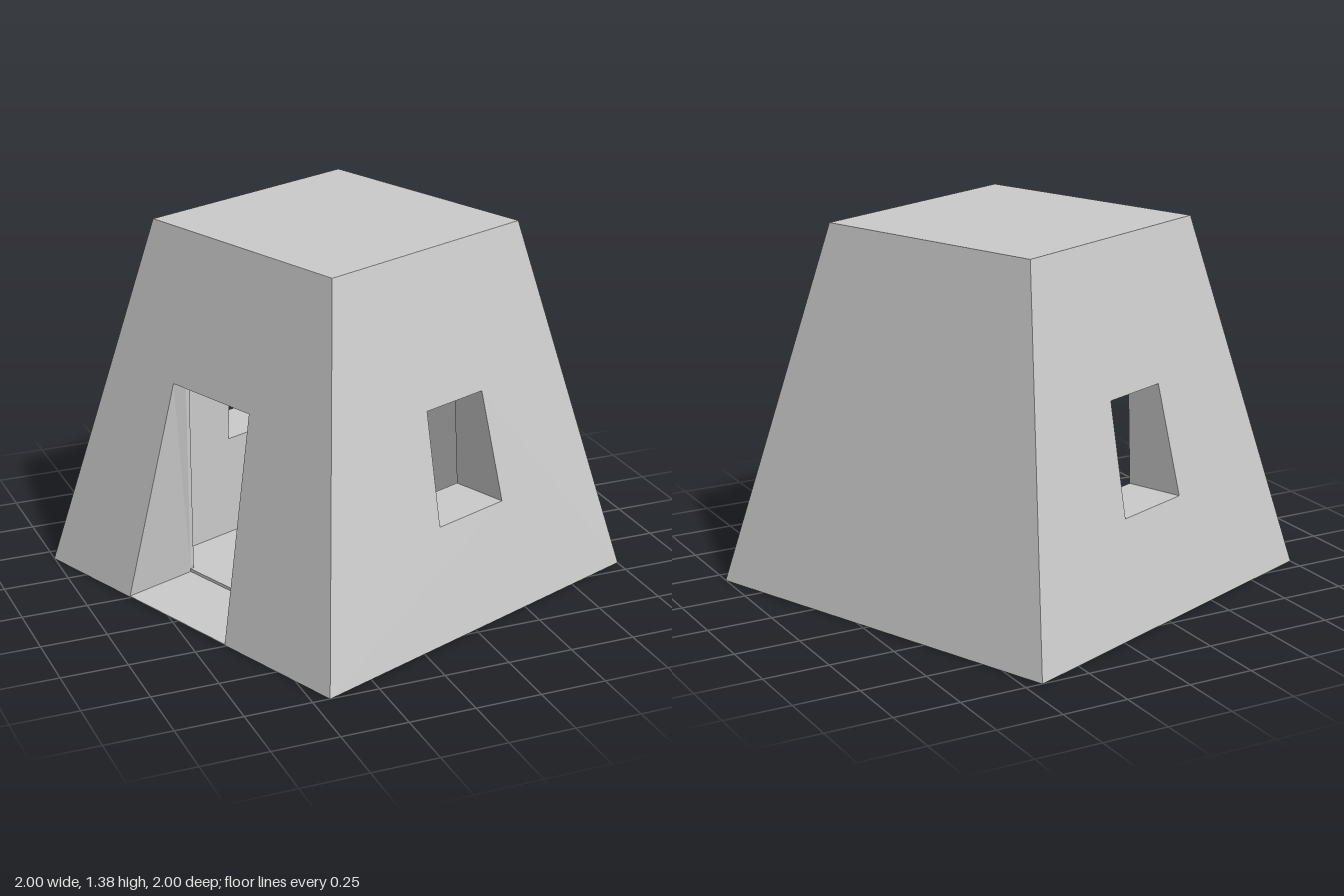
import * as THREE from 'three';

const H = 1.38, BASE = 0.772, TOP = 0.472, ROOM = 0.456, T = TOP - ROOM;
const half = (y) => BASE - (BASE - TOP) * y / H; // half width of the sloping shell

const material = new THREE.MeshStandardMaterial({ color: 0xcccccc, flatShading: true, side: THREE.DoubleSide });

function add(parent, geometry, name) {
  const mesh = new THREE.Mesh(geometry, material);
  mesh.name = name;
  parent.add(mesh);
  return mesh;
}

// Corners of an opening, counter-clockwise from bottom left, narrowing with the wall
function openingCorners({ a, b, y0, y1 }) {
  return [[a * half(y0), y0], [b * half(y0), y0], [b * half(y1), y1], [a * half(y1), y1]];
}

// Wall outline with the opening as a hole, or as a notch if it reaches the ground
function wallShape(bottom, top, hole, grounded) {
  const points = [[-bottom, 0]];
  if (hole && grounded) points.push(hole[0], hole[3], hole[2], hole[1]);
  points.push([bottom, 0], [top, H], [-top, H]);
  const shape = new THREE.Shape(points.map((p) => new THREE.Vector2(...p)));
  if (hole && !grounded) shape.holes.push(new THREE.Path([...hole].reverse().map((p) => new THREE.Vector2(...p))));
  return shape;
}

// Reveal surfaces between the sloping shell and the inner room wall
function revealGeometry(outer, inner, grounded) {
  const pos = [];
  for (let i = grounded ? 1 : 0; i < 4; i++) {
    const j = (i + 1) % 4;
    const o = (k) => [...outer[k], half(outer[k][1])];
    const n = (k) => [...inner[k], TOP];
    pos.push(...o(i), ...o(j), ...n(j), ...o(i), ...n(j), ...n(i));
  }
  const g = new THREE.BufferGeometry();
  g.setAttribute('position', new THREE.Float32BufferAttribute(pos, 3));
  g.computeVertexNormals();
  return g;
}

function buildSide(name, angle, roomWidth, opening) {
  const side = new THREE.Group();
  side.name = name;
  side.rotation.y = angle;
  const grounded = !!opening && opening.y0 === 0;
  const outer = opening && openingCorners(opening);
  // the doorway has upright jambs on the room side
  const inner = grounded ? [outer[0], outer[1], [outer[1][0], opening.y1], [outer[0][0], opening.y1]] : outer;

  // sloping outer wall: flat shape leaned inwards
  const shell = new THREE.ShapeGeometry(wallShape(BASE, TOP, outer, grounded));
  const p = shell.attributes.position;
  for (let i = 0; i < p.count; i++) p.setZ(i, half(p.getY(i)));
  shell.computeVertexNormals();
  add(side, shell, 'slopingWall');

  // upright room wall
  const wall = new THREE.ExtrudeGeometry(wallShape(roomWidth, roomWidth, inner, grounded), { depth: T, bevelEnabled: false });
  add(side, wall, 'roomWall').position.z = ROOM;

  if (opening) add(side, revealGeometry(outer, inner, grounded), 'openingReveal');
  return side;
}

export function createModel() {
  const model = new THREE.Group();
  model.name = 'taperedHut';
  const hut = new THREE.Group();
  hut.name = 'hut';
  hut.rotation.y = 0.375;
  model.add(hut);

  const door = { a: -0.402, b: 0.292, y0: 0, y1: 0.83 };
  hut.add(
    buildSide('frontSide', 0, TOP, { a: -0.205, b: 0.278, y0: 0.415, y1: 0.83 }),
    buildSide('backSide', Math.PI, TOP, { a: -0.278, b: 0.205, y0: 0.415, y1: 0.83 }),
    buildSide('doorSide', -Math.PI / 2, ROOM, door),
    buildSide('blankSide', Math.PI / 2, ROOM, null),
  );

  // roof slab, its underside forming the ceiling
  add(hut, new THREE.BoxGeometry(2 * TOP, T, 2 * TOP), 'roof').position.y = H - T / 2;

  // floor slab of the room, and the threshold running out through the doorway
  add(hut, new THREE.BoxGeometry(2 * TOP, T, 2 * TOP), 'floor').position.y = T / 2;
  const d = BASE - TOP;
  const threshold = add(hut, new THREE.BoxGeometry(d, T / 4, (door.b - door.a) * BASE), 'threshold');
  threshold.position.set(-TOP - d / 2, T / 8, (door.a + door.b) / 2 * BASE);

  return model;
}
